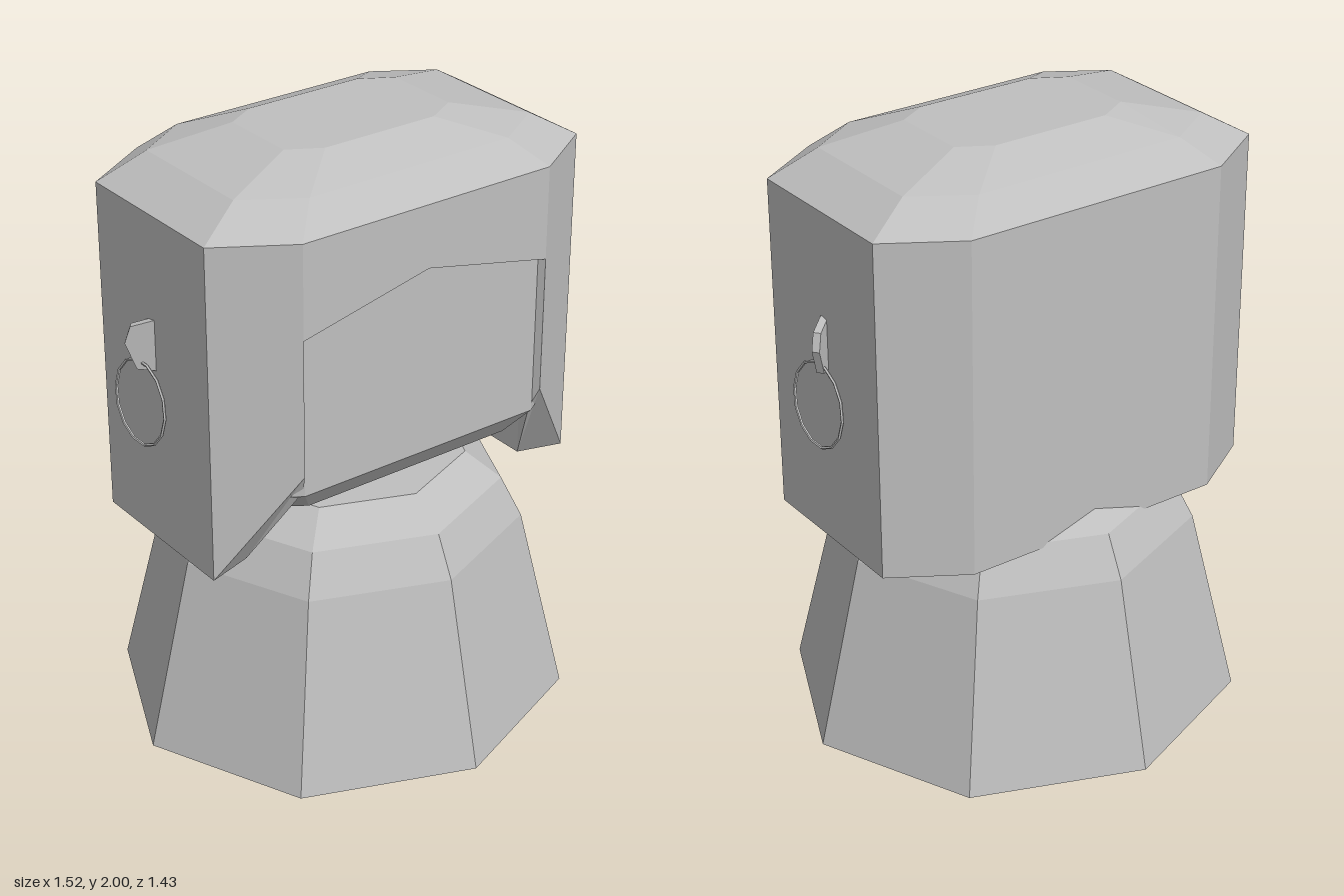
import * as THREE from 'three';

const grey = new THREE.MeshStandardMaterial({ color: 0xbfbfbf, flatShading: true, side: THREE.DoubleSide });
grey.name = 'plain grey';

// Flat-sided geometry from a list of convex polygons, each a list of [x, y, z]
function fromFaces(faces) {
  const pos = [];
  for (const f of faces)
    for (let i = 1; i < f.length - 1; i++) pos.push(...f[0], ...f[i], ...f[i + 1]);
  const g = new THREE.BufferGeometry();
  g.setAttribute('position', new THREE.Float32BufferAttribute(pos, 3));
  g.computeVertexNormals();
  return g;
}

function addMesh(parent, name, geometry) {
  const m = new THREE.Mesh(geometry, grey);
  m.name = name;
  parent.add(m);
  return m;
}

// Chamfered rectangle at height y: half sizes x, z and chamfer starts cx, cz
function ring([y, x, z, cx, cz]) {
  return [[cx, z], [x, cz], [x, -cz], [cx, -z], [-cx, -z], [-x, -cz], [-x, cz], [-cx, z]]
    .map(([a, b]) => [a, y, b]);
}

// Skin between rings from bottom to top, with optional end caps
function loft(sections, capBottom) {
  const rings = sections.map(ring), faces = [];
  for (let r = 0; r < rings.length - 1; r++)
    for (let i = 0; i < 8; i++) {
      const j = (i + 1) % 8;
      faces.push([rings[r][i], rings[r][j], rings[r + 1][j], rings[r + 1][i]]);
    }
  faces.push(rings[rings.length - 1]);
  if (capBottom) faces.push([...rings[0]].reverse());
  return fromFaces(faces);
}

// One half (+x) of the hood wall, with its face opening
function hoodHalf() {
  const top = 1.855, low = 0.755;
  // outer x, z, bottom height; inner x, z, bottom height
  const cols = [
    [0.455, 0.43, 1.10, 0.44, 0.4, 1.03],
    [0.69, 0.285, low, 0.54, 0.24, low],
    [0.69, -0.285, low, 0.54, -0.22, low],
    [0.455, -0.43, low, 0.36, -0.34, low],
    [0, -0.43, low, 0, -0.34, low],
  ];
  const faces = [];
  for (let i = 0; i < cols.length - 1; i++) {
    const [ax, az, ay, aix, aiz, aiy] = cols[i];
    const [bx, bz, by, bix, biz, biy] = cols[i + 1];
    faces.push([[ax, ay, az], [bx, by, bz], [bx, top, bz], [ax, top, az]]);
    faces.push([[ax, ay, az], [aix, aiy, aiz], [bix, biy, biz], [bx, by, bz]]);
    faces.push([[bix, biy, biz], [aix, aiy, aiz], [aix, 1.06, aiz], [bix, 1.06, biz]]);
  }
  const f = 0.43, b = 0.4;
  // brow panel and the narrow returns around the opening
  faces.push([[0, 1.65, f], [0.455, 1.55, f], [0.455, top, f], [0, top, f]]);
  faces.push([[0, 1.65, f], [0, 1.65, b], [0.44, 1.55, b], [0.455, 1.55, f]]);
  faces.push([[0.44, 1.03, b], [0.455, 1.1, f], [0.455, 1.55, f], [0.44, 1.55, b]]);
  return fromFaces(faces);
}

export function createModel() {
  const model = new THREE.Group();
  model.name = 'figure';

  // Eight-sided bell body
  const profile = [[0, 0], [1, 0], [0.793, 0.635], [0.70, 0.77], [0.54, 0.86], [0, 0.86]]
    .map(([r, y]) => new THREE.Vector2(r, y));
  const body = addMesh(model, 'body', new THREE.LatheGeometry(profile, 8));
  body.scale.set(0.757, 1, 0.715);

  // Head with bevelled chin
  addMesh(model, 'head', loft([
    [0.86, 0.33, 0.21, 0.25, 0.15],
    [0.935, 0.54, 0.345, 0.38, 0.24],
    [1.02, 0.66, 0.41, 0.44, 0.27],
    [1.8, 0.66, 0.41, 0.44, 0.27],
  ], true));

  // Hood crown
  addMesh(model, 'hoodCrown', loft([
    [1.855, 0.69, 0.43, 0.455, 0.285],
    [1.94, 0.547, 0.34, 0.365, 0.225],
    [2.0, 0.305, 0.19, 0.2, 0.13],
  ], false));

  // Ear tab outline, running outward from the hood
  const tab = new THREE.Shape([[-0.02, 1.52], [-0.02, 1.35], [0.045, 1.355], [0.078, 1.44], [0.06, 1.495]]
    .map(([x, y]) => new THREE.Vector2(x, y)));
  const tabGeometry = new THREE.ExtrudeGeometry(tab, { depth: 0.024, bevelEnabled: false });
  tabGeometry.translate(0, 0, -0.012);

  for (const side of [1, -1]) {
    const half = new THREE.Group();
    half.name = side > 0 ? 'leftSide' : 'rightSide';
    half.scale.x = side;
    addMesh(half, 'hoodWall', hoodHalf());

    const ear = addMesh(half, 'earTab', tabGeometry);
    ear.position.set(0.692, 0, -0.008);
    ear.rotation.y = 0.68;

    // Hoop hanging slightly outward at the bottom
    const hoop = addMesh(half, 'hoopEarring', new THREE.TorusGeometry(0.134, 0.005, 5, 14).rotateY(Math.PI / 2));
    hoop.position.set(0.731, 1.245, -0.022);
    hoop.rotation.z = 0.085;
    model.add(half);
  }
  return model;
}
